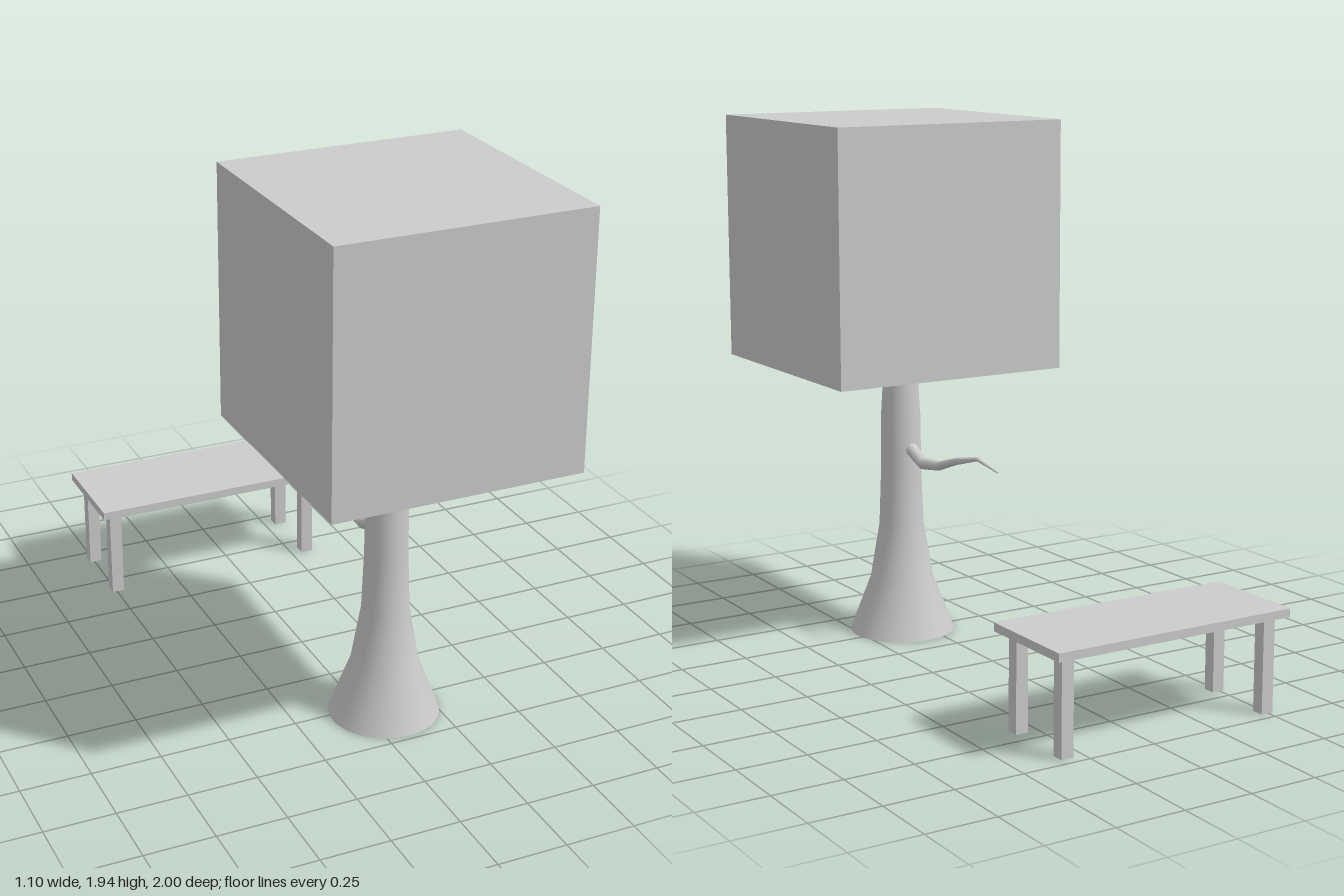
import * as THREE from 'three';
import { toCreasedNormals } from 'three/addons/utils/BufferGeometryUtils.js';

const material = new THREE.MeshStandardMaterial({ color: 0xcccccc });

function add(parent, name, geometry, x = 0, y = 0, z = 0) {
  const mesh = new THREE.Mesh(geometry, material);
  mesh.name = name;
  mesh.position.set(x, y, z);
  parent.add(mesh);
  return mesh;
}

// Closed round loft through rings [x, y, z, radius], running along +y or +z.
function loft(rings, sides, alongZ = false) {
  const last = rings.length - 1;
  const geometry = new THREE.CylinderGeometry(1, 1, 1, sides, last);
  const p = geometry.attributes.position;
  for (let i = 0; i < p.count; i++) {
    const [x, y, z, r] = rings[Math.round((p.getY(i) + 0.5) * last)];
    const u = p.getX(i) * r, v = p.getZ(i) * r;
    if (alongZ) p.setXYZ(i, x + u, y - v, z);
    else p.setXYZ(i, x + u, y, z + v);
  }
  return toCreasedNormals(geometry, 0.9);
}

export function createModel() {
  const model = new THREE.Group();
  model.name = 'treeAndBench';

  // Tree: flared trunk, crooked branch, cube crown
  const tree = new THREE.Group();
  tree.name = 'tree';
  model.add(tree);
  const trunkProfile = [[0, 0.197], [0.205, 0.119], [0.41, 0.084], [0.62, 0.076], [0.83, 0.074], [1.04, 0.061]];
  add(tree, 'trunk', loft(trunkProfile.map(([y, r]) => [0.075, y, 0.535, r]), 32));
  add(tree, 'branch', loft([
    [-0.02, 0.701, -0.005, 0.003],
    [0.01, 0.737, 0.085, 0.008],
    [0.035, 0.712, 0.19, 0.014],
    [0.053, 0.677, 0.29, 0.018],
    [0.062, 0.669, 0.39, 0.023],
    [0.07, 0.715, 0.475, 0.025],
  ], 12, true));
  add(tree, 'foliage', new THREE.BoxGeometry(0.9, 0.905, 0.9), 0.1, 1.4875, 0.55);

  // Bench: flat seat on four square legs
  const bench = new THREE.Group();
  bench.name = 'bench';
  bench.position.set(-0.09, 0, -0.807);
  model.add(bench);
  add(bench, 'seat', new THREE.BoxGeometry(0.924, 0.03, 0.386), 0, 0.353, 0);
  const leg = new THREE.BoxGeometry(0.046, 0.338, 0.046);
  for (const sx of [-1, 1]) {
    for (const sz of [-1, 1]) {
      add(bench, (sz > 0 ? 'front' : 'back') + (sx > 0 ? 'Left' : 'Right') + 'Leg', leg, sx * 0.404, 0.169, sz * 0.134);
    }
  }
  return model;
}
